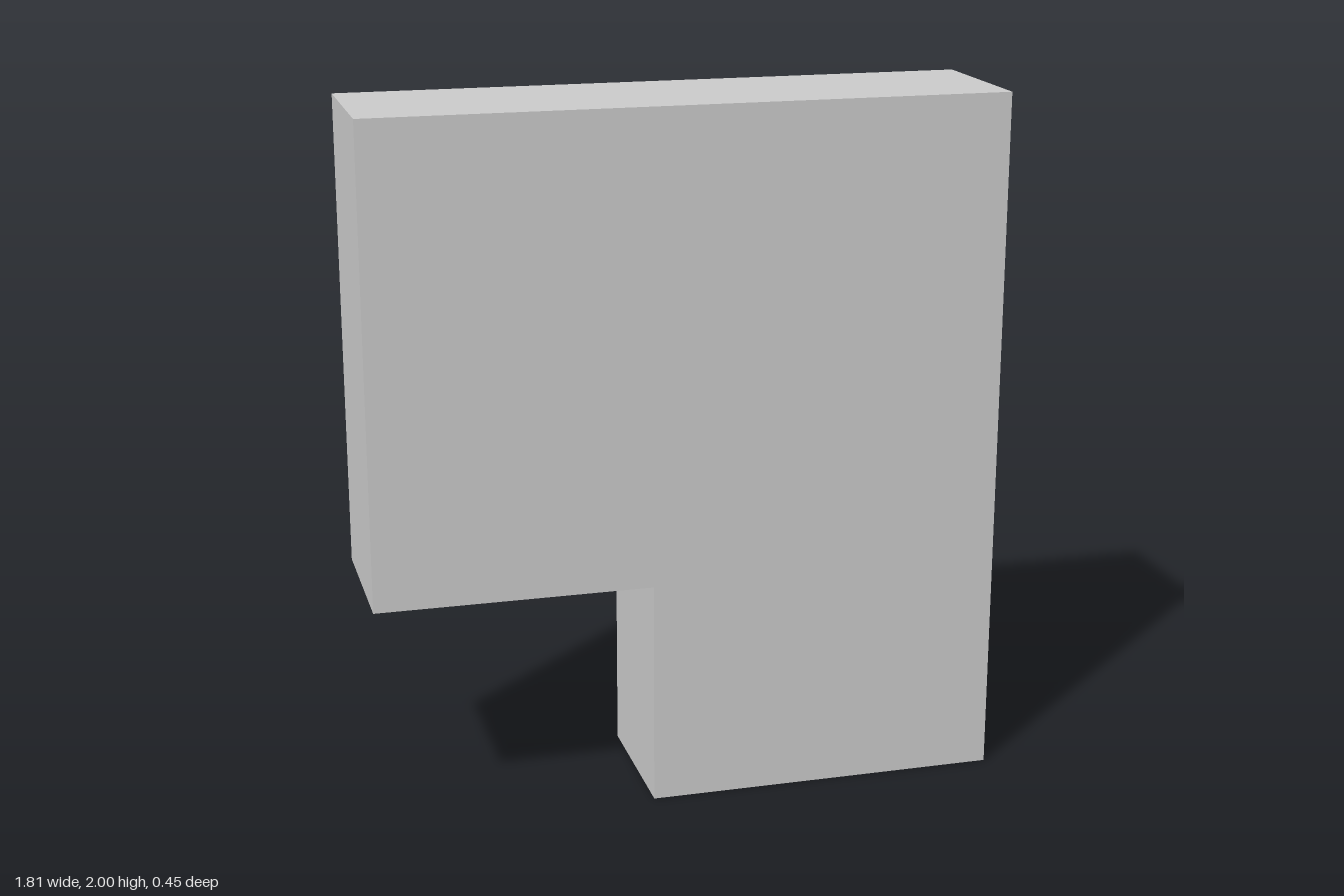
import * as THREE from 'three';

const HALF_WIDTH = 0.903;
const HEIGHT = 2;
const DEPTH = 0.45;
const NOTCH_X = -0.115; // inner side of the cut-out corner
const NOTCH_Y = 0.65; // underside of the overhang

export function createModel() {
  const group = new THREE.Group();
  group.name = 'notchedPanel';

  // Upright slab with its lower right corner cut away
  const outline = new THREE.Shape([
    [NOTCH_X, 0],
    [HALF_WIDTH, 0],
    [HALF_WIDTH, HEIGHT],
    [-HALF_WIDTH, HEIGHT],
    [-HALF_WIDTH, NOTCH_Y],
    [NOTCH_X, NOTCH_Y],
  ].map(([x, y]) => new THREE.Vector2(x, y)));

  const geometry = new THREE.ExtrudeGeometry(outline, { depth: DEPTH, bevelEnabled: false });
  geometry.translate(0, 0, -DEPTH / 2);

  const panel = new THREE.Mesh(geometry, new THREE.MeshStandardMaterial({ color: 0xcccccc }));
  panel.name = 'panel';
  group.add(panel);
  return group;
}
